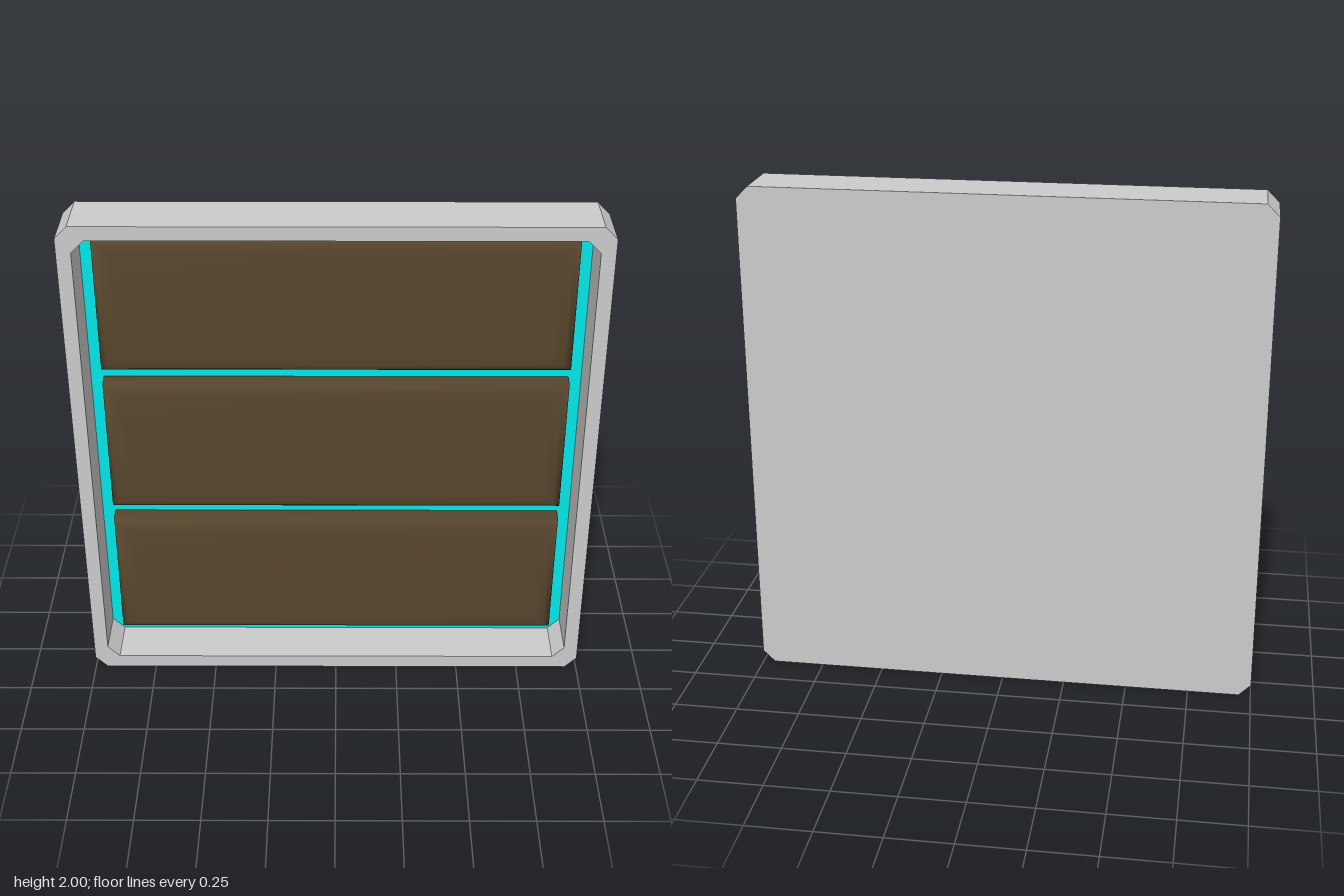
import * as THREE from 'three';

const FLOOR = -0.08, FRONT = 0.11, BACK = -0.11;

// Square outline with chamfered corners, centred on the origin
function chamferedSquare(half, c, Type = THREE.Shape) {
  const h = half, k = half - c;
  return new Type([[k, -h], [h, -k], [h, k], [k, h], [-k, h], [-h, k], [-h, -k], [-k, -h]]
    .map(([x, y]) => new THREE.Vector2(x, y)));
}

function slab(shape, z0, z1) {
  const g = new THREE.ExtrudeGeometry(shape, { depth: z1 - z0, bevelEnabled: false });
  return g.translate(0, 1, z0);
}

// Smooth-edged board: rectangular rings stepping forward and inward, closed by a front face
function boardGeometry(halfW, y0, y1) {
  const rings = [[0, FLOOR], [0, -0.026], [0.01, -0.013], [0.03, -0.004], [0.075, 0]];
  const pos = [], idx = [];
  for (const [inset, z] of rings) {
    const x = halfW - inset, b = y0 + inset, t = y1 - inset;
    pos.push(-x, b, z, x, b, z, x, t, z, -x, t, z);
  }
  for (let r = 0; r < rings.length - 1; r++) {
    for (let i = 0; i < 4; i++) {
      const a = r * 4 + i, b = r * 4 + (i + 1) % 4;
      idx.push(a, b, b + 4, a, b + 4, a + 4);
    }
  }
  const n = (rings.length - 1) * 4;
  idx.push(n, n + 1, n + 2, n, n + 2, n + 3);
  const g = new THREE.BufferGeometry();
  g.setAttribute('position', new THREE.Float32BufferAttribute(pos, 3));
  g.setIndex(idx);
  g.computeVertexNormals();
  return g;
}

export function createModel() {
  const group = new THREE.Group();
  const grey = new THREE.MeshStandardMaterial({ color: 0xcccccc });
  const teal = new THREE.MeshStandardMaterial({ color: 0x02e7e8 });
  const brown = new THREE.MeshStandardMaterial({ color: 0x58462d });
  const add = (name, geometry, material) => {
    const mesh = new THREE.Mesh(geometry, material);
    mesh.name = name;
    group.add(mesh);
  };

  // Raised rim around the recess
  const rim = chamferedSquare(1, 0.047);
  rim.holes.push(chamferedSquare(0.945, 0.047, THREE.Path));
  add('frame', slab(rim, BACK, FRONT), grey);

  // Back wall and the coloured floor of the recess
  add('backPlate', slab(chamferedSquare(0.945, 0.047), BACK, FLOOR - 0.005), grey);
  const floor = new THREE.ShapeGeometry(chamferedSquare(0.945, 0.047));
  add('recessFloor', floor.translate(0, 1, FLOOR), teal);

  // Three horizontal boards
  [['lowerBoard', 0.11, 0.66], ['middleBoard', 0.72, 1.285], ['upperBoard', 1.345, 1.893]]
    .forEach(([name, y0, y1]) => add(name, boardGeometry(0.895, y0, y1), brown));

  return group;
}
